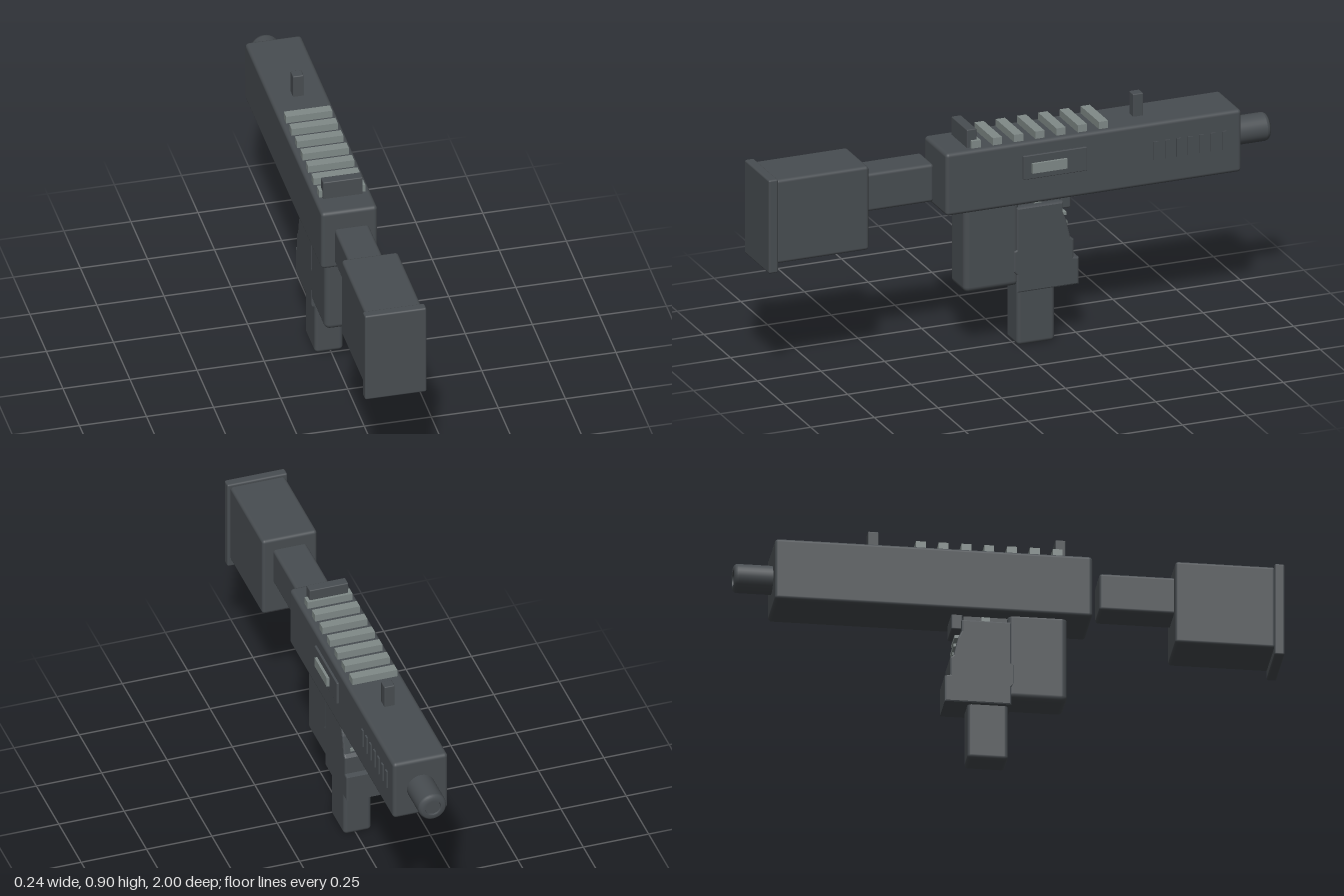
import * as THREE from 'three';
import { RoundedBoxGeometry } from 'three/addons/geometries/RoundedBoxGeometry.js';

export function createModel() {
  const model = new THREE.Group();
  const dark = new THREE.MeshStandardMaterial({ color: 0x484d51 });
  dark.name = 'darkGunmetal';
  const light = new THREE.MeshStandardMaterial({ color: 0x808a88 });
  light.name = 'paleMetal';

  const add = (name, geometry, material = dark) => {
    const mesh = new THREE.Mesh(geometry, material);
    mesh.name = name;
    model.add(mesh);
    return mesh;
  };
  // Box given by its limits on each axis, with optional rounded edges
  const block = (name, [x0, x1], [y0, y1], [z0, z1], radius = 0, material = dark) => {
    const size = [x1 - x0, y1 - y0, z1 - z0];
    const geometry = radius
      ? new RoundedBoxGeometry(...size, 3, radius)
      : new THREE.BoxGeometry(...size);
    add(name, geometry, material)
      .position.set((x0 + x1) / 2, (y0 + y1) / 2, (z0 + z1) / 2);
  };

  // Receiver and shoulder stock
  block('receiver', [-0.11, 0.1], [0.57, 0.812], [-0.86, 0.3], 0.014);
  block('stockArm', [-0.07, 0.058], [0.618, 0.765], [0.33, 0.615], 0.012);
  block('stockBody', [-0.11, 0.1], [0.487, 0.812], [0.602, 0.968], 0.012);
  block('buttPlate', [-0.12, 0.11], [0.457, 0.82], [0.963, 1], 0.007);

  // Barrel with a shallow recessed muzzle
  const barrel = add('barrel', new THREE.LatheGeometry([
    [0, 0.134], [0.028, 0.134], [0.028, 0.134], [0.03, 0.14], [0.03, 0.14], [0.044, 0.14],
    [0.051, 0.133], [0.053, 0.125], [0.053, 0.125], [0.053, -0.02],
  ].reverse().map(([r, y]) => new THREE.Vector2(r, y)), 32));
  barrel.rotation.x = -Math.PI / 2;
  barrel.position.set(-0.005, 0.69, -0.86);

  // Sights and top rail
  block('rearSight', [-0.08, 0.068], [0.8, 0.882], [0.167, 0.205], 0.004);
  block('frontSight', [-0.026, 0.014], [0.8, 0.899], [-0.51, -0.47], 0.004);
  for (let i = 0; i < 7; i++) {
    const z = 0.174 - i * 0.0833;
    block('railRib', [-0.092, 0.08], [0.8, 0.84], [z - 0.018, z + 0.018], 0, light);
  }

  // Side port and cooling slots
  block('portFrame', [0.09, 0.108], [0.67, 0.762], [-0.25, 0], 0.003);
  block('portBolt', [0.1, 0.118], [0.694, 0.732], [-0.168, -0.032], 0, light);
  for (let i = 0; i < 7; i++) {
    const z = -0.522 - i * 0.0447;
    block('coolingSlot', [0.095, 0.106], [0.669, 0.74], [z - 0.009, z + 0.009]);
  }

  // Rear housing, stepped grip and magazine
  block('rearHousing', [-0.075, 0.062], [0.243, 0.585], [-0.005, 0.212], 0.022);
  const profile = [
    [-0.002, 0.222], [-0.002, 0.288], [-0.014, 0.302], [-0.014, 0.375], [-0.002, 0.38],
    [-0.002, 0.54], [0.168, 0.54], [0.168, 0.5], [0.182, 0.47], [0.198, 0.4],
    [0.21, 0.39], [0.21, 0.32], [0.23, 0.315], [0.23, 0.222],
  ];
  const grip = new THREE.ExtrudeGeometry(
    new THREE.Shape(profile.map(([x, y]) => new THREE.Vector2(x, y))),
    { depth: 0.126, bevelThickness: 0.007, bevelSize: 0.006, bevelSegments: 2 });
  grip.rotateY(Math.PI / 2).translate(-0.068, 0, 0);
  add('grip', grip);
  block('magazine', [-0.06, 0.046], [0.003, 0.24], [-0.15, -0.002], 0.015);

  // Small catches between grip and receiver
  block('gripNeck', [-0.05, 0.04], [0.53, 0.58], [-0.165, 0]);
  block('gripPin', [-0.052, 0.042], [0.54, 0.572], [-0.098, -0.068], 0, light);
  block('triggerCatch', [-0.06, 0.05], [0.512, 0.575], [-0.21, -0.168], 0.006);
  for (let i = 0; i < 3; i++) {
    const y = 0.488 - i * 0.035;
    block('gripRidge', [-0.05, 0.04], [y - 0.006, y + 0.006], [-0.197 - i * 0.004, -0.16], 0, light);
  }
  return model;
}
